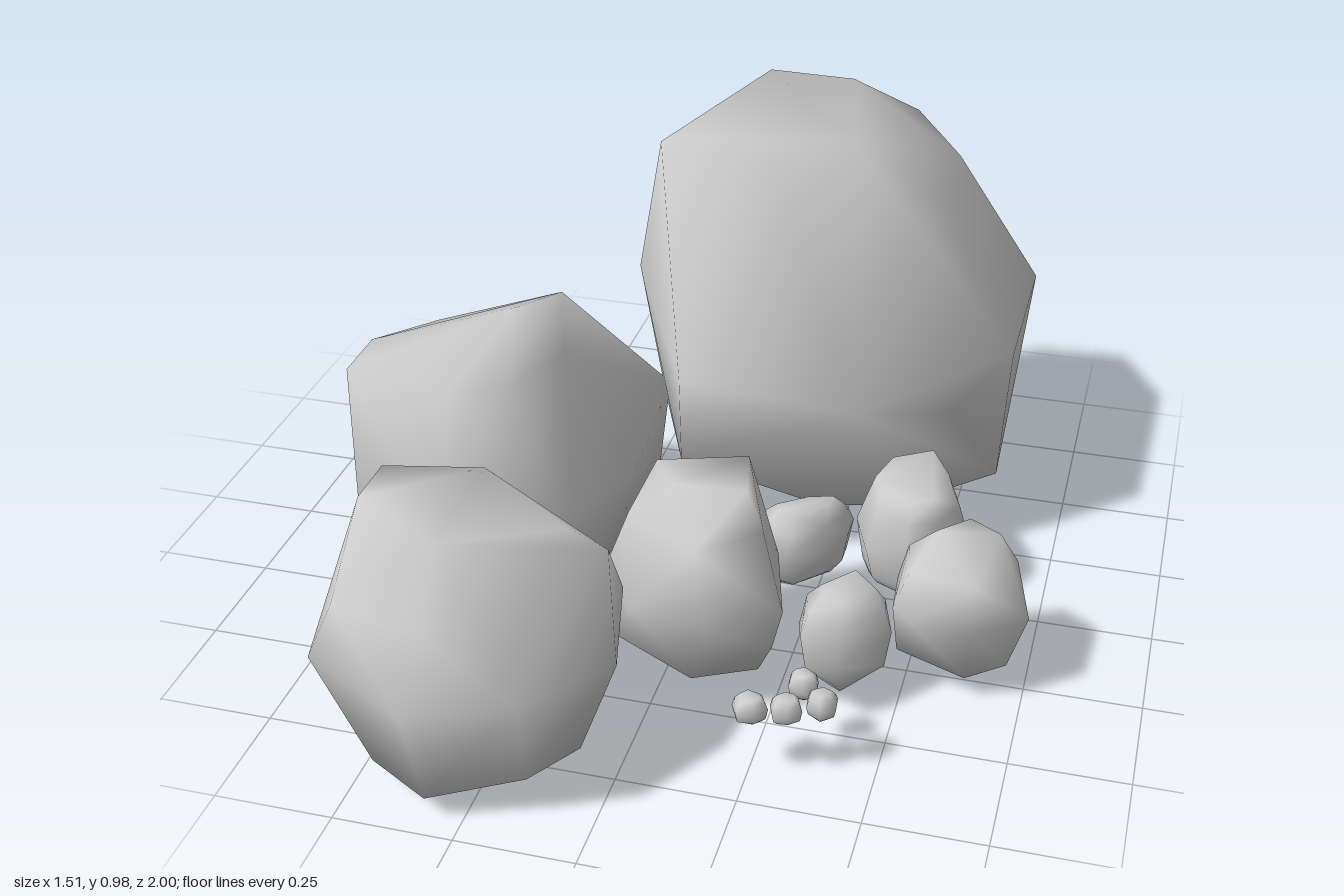
import * as THREE from 'three';
import { ConvexGeometry } from 'three/addons/geometries/ConvexGeometry.js';
import { mergeVertices } from 'three/addons/utils/BufferGeometryUtils.js';

const stone = new THREE.MeshStandardMaterial({ color: 0xcccccc });

// A coarse rock wrapped around its corner points, with smooth shading
function rock(name, corners) {
  const hull = new ConvexGeometry(corners.map((c) => new THREE.Vector3(...c)));
  hull.deleteAttribute('normal');
  const geometry = mergeVertices(hull);
  geometry.computeVertexNormals();
  const mesh = new THREE.Mesh(geometry, stone);
  mesh.name = name;
  return mesh;
}

// A small rock from its plan outline [x, z], narrowing to the top and base
function smallRock(name, outline, bottom, top, topScale = 0.55, baseScale = 0.62) {
  const n = outline.length, h = top - bottom;
  const cx = outline.reduce((s, p) => s + p[0], 0) / n;
  const cz = outline.reduce((s, p) => s + p[1], 0) / n;
  const corners = [];
  outline.forEach(([x, z], i) => {
    const at = (s, level) => corners.push([cx + (x - cx) * s, bottom + h * level, cz + (z - cz) * s]);
    at(1, i % 2 ? 0.42 : 0.56);
    at(0.84, 0.8);
    at(topScale, 1 - (i % 3) * 0.025);
    at(0.87, 0.15);
    at(baseScale, (i % 3) * 0.03);
  });
  return rock(name, corners);
}

export function createModel() {
  const group = new THREE.Group();
  group.name = 'rockCluster';

  // Three large boulders
  group.add(rock('largeBoulder', [
    [-0.07, 0.51, 0.015], [-0.07, 0.3, 0], [0.32, 0.45, -0.04], [0.5, 0.4, -0.19],
    [0.62, 0.5, -0.31], [0.6, 0.17, -0.33], [0.62, 0.5, -0.72], [0.59, 0.28, -0.7],
    [0.31, 0.49, -1], [0.1, 0.19, -0.92], [0.32, 0.22, -0.92], [-0.04, 0.55, -0.81],
    [-0.28, 0.55, -0.61], [-0.32, 0.5, -0.53], [-0.19, 0.94, -0.28], [0.25, 0.98, -0.29],
    [0.08, 0.94, -0.2], [-0.2, 0.84, -0.6], [-0.03, 0.985, -0.66], [0.17, 0.985, -0.65],
    [0.3, 0.86, -0.81], [0.43, 0.83, -0.63], [0.43, 0.82, -0.38], [0.15, 0.015, -0.47],
    [0.4, 0.06, -0.8], [-0.04, 0.05, -0.81], [-0.28, 0.11, -0.6], [-0.07, 0.055, -0.48],
    [0.2, 0.08, -0.23], [0.38, 0.1, -0.24],
  ]));
  group.add(rock('sideBoulder', [
    [-0.45, 0.35, -0.33], [-0.45, 0.1, -0.3], [-0.76, 0.3, -0.23], [-0.73, 0.1, -0.15],
    [-0.76, 0.36, 0.08], [-0.76, 0.1, 0.08], [-0.76, 0.55, 0.08], [-0.71, 0.61, 0.32],
    [-0.71, 0.12, 0.33], [-0.46, 0.35, 0.48], [-0.46, 0.1, 0.42], [-0.21, 0.35, 0.36],
    [-0.22, 0.12, 0.3], [-0.155, 0.3, 0.07], [-0.16, 0.36, -0.23], [-0.17, 0.15, -0.16],
    [-0.71, 0.47, -0.19], [-0.45, 0.63, 0], [-0.38, 0.62, -0.12], [-0.46, 0.62, 0.37],
    [-0.36, 0.61, 0.3], [-0.31, 0.58, 0.08], [-0.45, 0.055, 0.1], [-0.2, 0.1, 0.08],
  ]));
  group.add(rock('frontBoulder', [
    [-0.53, 0.55, 0.57], [-0.53, 0.55, 0.69], [-0.31, 0.58, 0.57], [-0.31, 0.575, 0.84],
    [-0.52, 0.42, 0.87], [-0.12, 0.5, 0.62], [-0.05, 0.45, 0.6], [-0.05, 0.3, 0.51],
    [0.01, 0.29, 0.75], [-0.12, 0.31, 0.95], [-0.34, 0.28, 1], [-0.57, 0.3, 0.89],
    [-0.54, 0.3, 0.7], [-0.3, 0.45, 0.955], [-0.07, 0.07, 0.75], [-0.3, 0.005, 0.73],
    [-0.46, 0.06, 0.88], [-0.32, 0.06, 0.96], [-0.13, 0.1, 0.9], [-0.51, 0.2, 0.55],
    [-0.49, 0.07, 0.57], [-0.28, 0.02, 0.5], [-0.28, 0.35, 0.5], [-0.07, 0.13, 0.54],
  ]));

  // Middle rock and the smaller stones beside it
  group.add(rock('middleRock', [
    [0.13, 0.27, 0.15], [-0.12, 0.3, 0.22], [-0.13, 0.25, 0.39], [-0.04, 0.25, 0.51],
    [0.14, 0.27, 0.57], [0.28, 0.29, 0.5], [0.22, 0.28, 0.28], [-0.04, 0.475, 0.29],
    [0.02, 0.48, 0.38], [0.17, 0.475, 0.36], [0.14, 0.47, 0.22], [0, 0.42, 0.2],
    [0.22, 0.42, 0.42], [0.1, 0.41, 0.51], [-0.07, 0.41, 0.4], [0.21, 0.07, 0.41],
    [0.08, 0.065, 0.47], [-0.1, 0.09, 0.4], [0.15, 0.09, 0.2], [-0.08, 0.08, 0.25],
    [0.25, 0.17, 0.46],
  ]));
  group.add(rock('outerStone', [
    [0.64, 0.22, 0.08], [0.53, 0.2, 0.1], [0.46, 0.2, 0.18], [0.47, 0.2, 0.3],
    [0.52, 0.2, 0.35], [0.64, 0.2, 0.36], [0.75, 0.2, 0.27], [0.71, 0.28, 0.18],
    [0.54, 0.34, 0.2], [0.67, 0.34, 0.18], [0.6, 0.335, 0.13], [0.64, 0.29, 0.32],
    [0.5, 0.29, 0.3], [0.48, 0.28, 0.18], [0.7, 0.06, 0.15], [0.63, 0.055, 0.31],
    [0.48, 0.08, 0.28], [0.56, 0.07, 0.1], [0.71, 0.06, 0.25],
  ]));
  group.add(smallRock('innerStone', [[0.32, -0.04], [0.22, -0.02], [0.11, 0.05], [0.13, 0.13],
    [0.21, 0.15], [0.29, 0.08], [0.32, 0.02]], 0.08, 0.26));
  group.add(smallRock('backStone', [[0.48, -0.22], [0.55, -0.1], [0.575, -0.03], [0.53, 0.07],
    [0.46, 0.09], [0.37, 0.06], [0.33, -0.02], [0.36, -0.16]], 0.055, 0.31, 0.7, 0.75));
  group.add(smallRock('frontStone', [[0.39, 0.24], [0.47, 0.31], [0.48, 0.36], [0.39, 0.47],
    [0.3, 0.42], [0.28, 0.34]], 0.06, 0.275));

  // Four pebbles: centre x, z, half width and turn
  [[0.338, 0.555, 0.034, 0.4], [0.387, 0.608, 0.034, 1.5],
    [0.322, 0.641, 0.035, 2.3], [0.252, 0.655, 0.038, 0.1]].forEach(([x, z, r, turn]) => {
    const outline = Array.from({ length: 6 }, (_, i) => {
      const a = turn + (i * Math.PI) / 3;
      return [x + r * Math.cos(a), z + r * (i % 2 ? 0.85 : 1) * Math.sin(a)];
    });
    group.add(smallRock('pebble', outline, 0.137, 0.195));
  });

  return group;
}
